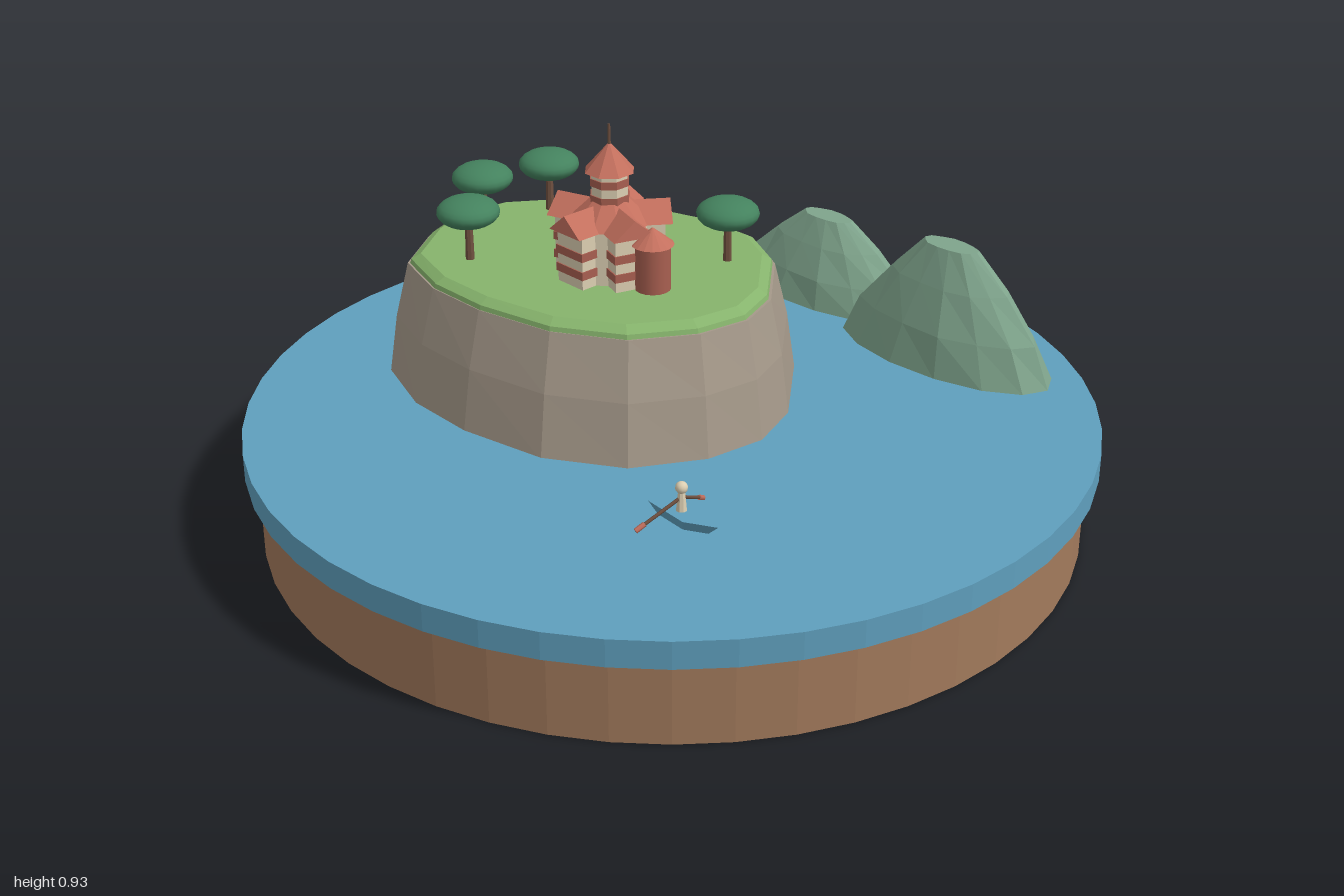
import * as THREE from 'three';

const paint = (name, color) => {
  const m = new THREE.MeshStandardMaterial({ color });
  m.name = name;
  return m;
};

export function createModel() {
  const earth = paint('earth', 0xa27a5c), water = paint('water', 0x5f9fbd), rock = paint('rock', 0xa5998a),
    grass = paint('grass', 0x86b36c), hillGreen = paint('hillGreen', 0x7fa48c), leaf = paint('leaf', 0x44825e),
    tile = paint('tile', 0xc4705e), brick = paint('brick', 0xa85f50), plaster = paint('plaster', 0xdccfb2),
    wood = paint('wood', 0x70503f);
  const model = new THREE.Group();

  const flat = (g) => {
    const f = g.index ? g.toNonIndexed() : g;
    f.computeVertexNormals();
    return f;
  };
  const add = (parent, name, geo, mat, x = 0, y = 0, z = 0) => {
    const m = new THREE.Mesh(geo, mat);
    m.name = name;
    m.position.set(x, y, z);
    parent.add(m);
    return m;
  };
  const group = (parent, name, x = 0, y = 0, z = 0) => {
    const g = new THREE.Group();
    g.name = name;
    g.position.set(x, y, z);
    parent.add(g);
    return g;
  };
  const drum = (r0, r1, y0, y1, n) => flat(new THREE.CylinderGeometry(r1, r0, y1 - y0, n).translate(0, (y0 + y1) / 2, 0));
  // Joins rings of points from bottom to top and closes the top
  const loft = (rings) => {
    const pos = [], n = rings[0].length;
    const tri = (...ps) => ps.forEach((p) => pos.push(p.x, p.y, p.z));
    for (let i = 0; i < n; i++) {
      const j = (i + 1) % n;
      for (let k = 0; k + 1 < rings.length; k++) {
        const lo = rings[k], hi = rings[k + 1];
        tri(lo[i], hi[i], hi[j]);
        tri(lo[i], hi[j], lo[j]);
      }
      const top = rings[rings.length - 1];
      const mid = top.reduce((s, p) => s.add(p), new THREE.Vector3()).divideScalar(n);
      tri(mid, top[j], top[i]);
    }
    const g = new THREE.BufferGeometry();
    g.setAttribute('position', new THREE.Float32BufferAttribute(pos, 3));
    g.computeVertexNormals();
    return g;
  };

  // Round base and sea
  add(model, 'earthBase', drum(0.97, 0.97, 0, 0.2, 48), earth);
  add(model, 'sea', drum(1, 1, 0.2, 0.265, 48), water);

  // Island
  const shore = [[-0.29, -0.525], [-0.07, -0.5], [0.1, -0.43], [0.2, -0.3], [0.27, -0.06], [0.26, 0.09], [0.18, 0.22],
    [0.03, 0.33], [-0.17, 0.36], [-0.39, 0.31], [-0.56, 0.23], [-0.7, 0.1], [-0.735, -0.1], [-0.73, -0.24],
    [-0.65, -0.38], [-0.5, -0.48]];
  const ring = (y, sx, sz) => shore.map(([x, z]) => new THREE.Vector3(-0.235 + (x + 0.235) * sx, y, -0.085 + (z + 0.085) * sz));
  add(model, 'cliff', loft([ring(0.26, 1, 1), ring(0.41, 0.96, 0.93), ring(0.545, 0.9, 0.83)]), rock);
  add(model, 'meadow', loft([ring(0.54, 0.89, 0.83), ring(0.556, 0.88, 0.82), ring(0.57, 0.835, 0.765)]), grass);

  // Distant hills
  const hill = (name, x, z, a, b, h) => {
    const rings = [[0, 1], [0.35, 0.82], [0.7, 0.54], [1, 0.25]].map(([t, s], k) =>
      Array.from({ length: 14 }, (_, i) => {
        const q = (i / 14) * Math.PI * 2, w = s * (k ? 1 + 0.04 * Math.sin(i * 2.3 + k) : 1);
        return new THREE.Vector3(Math.cos(q) * a * w, t * h, Math.sin(q) * b * w);
      }));
    add(model, name, loft(rings), hillGreen, x, 0.263, z).rotation.y = -0.36;
  };
  hill('largeHill', 0.52, -0.51, 0.305, 0.14, 0.292);
  hill('smallHill', 0.125, -0.76, 0.295, 0.13, 0.212);

  // Trees with flattened crowns
  for (const [x, z] of [[-0.46, -0.315], [-0.57, -0.17], [-0.5, 0.04], [0.065, -0.185]]) {
    const tree = group(model, 'tree', x, 0.565, z);
    add(tree, 'trunk', drum(0.011, 0.009, 0, 0.12, 8), wood);
    add(tree, 'crown', new THREE.SphereGeometry(0.075, 20, 12).scale(1, 0.48, 1), leaf, 0, 0.125, 0);
  }

  // House with five gabled wings
  const house = group(model, 'house', -0.165, 0.57, -0.025);
  add(house, 'core', drum(0.095, 0.095, 0, 0.13, 10), plaster);
  const gable = new THREE.Shape([[-0.052, 0], [0.052, 0], [0, 0.045]].map((p) => new THREE.Vector2(...p)));
  const roofGeo = new THREE.ExtrudeGeometry(gable, { depth: 0.14, bevelEnabled: false }).rotateY(Math.PI / 2);
  for (let i = 0; i < 5; i++) {
    const wing = group(house, 'wing');
    wing.rotation.y = -THREE.MathUtils.degToRad(-102 + 72 * i);
    add(wing, 'wingWall', new THREE.BoxGeometry(0.124, 0.13, 0.084), plaster, 0.062, 0.065, 0);
    for (const y of [0.035, 0.08]) add(wing, 'brickBand', new THREE.BoxGeometry(0.127, 0.02, 0.09), brick, 0.0635, y, 0);
    add(wing, 'wingRoof', roofGeo, tile, 0, 0.13, 0);
  }
  add(house, 'centralRoof', drum(0.1, 0.045, 0.13, 0.183, 10), tile);

  // Central lantern tower
  add(house, 'towerWall', drum(0.045, 0.045, 0.15, 0.255, 8), plaster);
  for (const y of [0.178, 0.218]) add(house, 'towerBand', drum(0.048, 0.048, y, y + 0.018, 8), brick);
  add(house, 'towerRoof', drum(0.06, 0.001, 0.25, 0.318, 8), tile);
  add(house, 'finial', drum(0.004, 0.003, 0.31, 0.362, 6), wood);

  // Round side turret
  const turret = group(model, 'turret', -0.035, 0.57, 0.03);
  add(turret, 'turretWall', new THREE.CylinderGeometry(0.042, 0.042, 0.11, 16), brick, 0, 0.055, 0);
  add(turret, 'turretRoof', drum(0.05, 0.001, 0.11, 0.15, 16), tile);

  // Rowing boat
  const boat = group(model, 'boat', 0.232, 0.263, 0.495);
  boat.rotation.y = -0.38;
  const plan = [[0.1, 0], [0.03, 0.035], [-0.085, 0.022], [-0.085, -0.022], [0.03, -0.035]];
  const deck = (y, s) => plan.map(([x, z]) => new THREE.Vector3(x * s, y, z * s));
  add(boat, 'hull', loft([deck(0, 0.7), deck(0.028, 1)]), water);

  // Rower and oars
  const rower = group(model, 'rower', 0.226, 0.285, 0.493);
  add(rower, 'body', drum(0.013, 0.008, 0, 0.05, 8), plaster);
  add(rower, 'head', new THREE.SphereGeometry(0.014, 12, 8), plaster, 0, 0.061, 0);
  const rod = (name, from, to, r, mat) => {
    const a = new THREE.Vector3(...from), b = new THREE.Vector3(...to), d = b.clone().sub(a);
    const m = add(rower, name, new THREE.CylinderGeometry(r, r, d.length(), 6), mat, ...a.clone().add(b).multiplyScalar(0.5).toArray());
    m.quaternion.setFromUnitVectors(new THREE.Vector3(0, 1, 0), d.normalize());
  };
  for (const [x, z] of [[0.01, -0.1], [-0.07, 0.085]]) {
    rod('oar', [0, 0.038, 0], [x, -0.015, z], 0.004, wood);
    rod('oarBlade', [x * 0.8, -0.004, z * 0.8], [x, -0.015, z], 0.006, tile);
  }
  return model;
}
